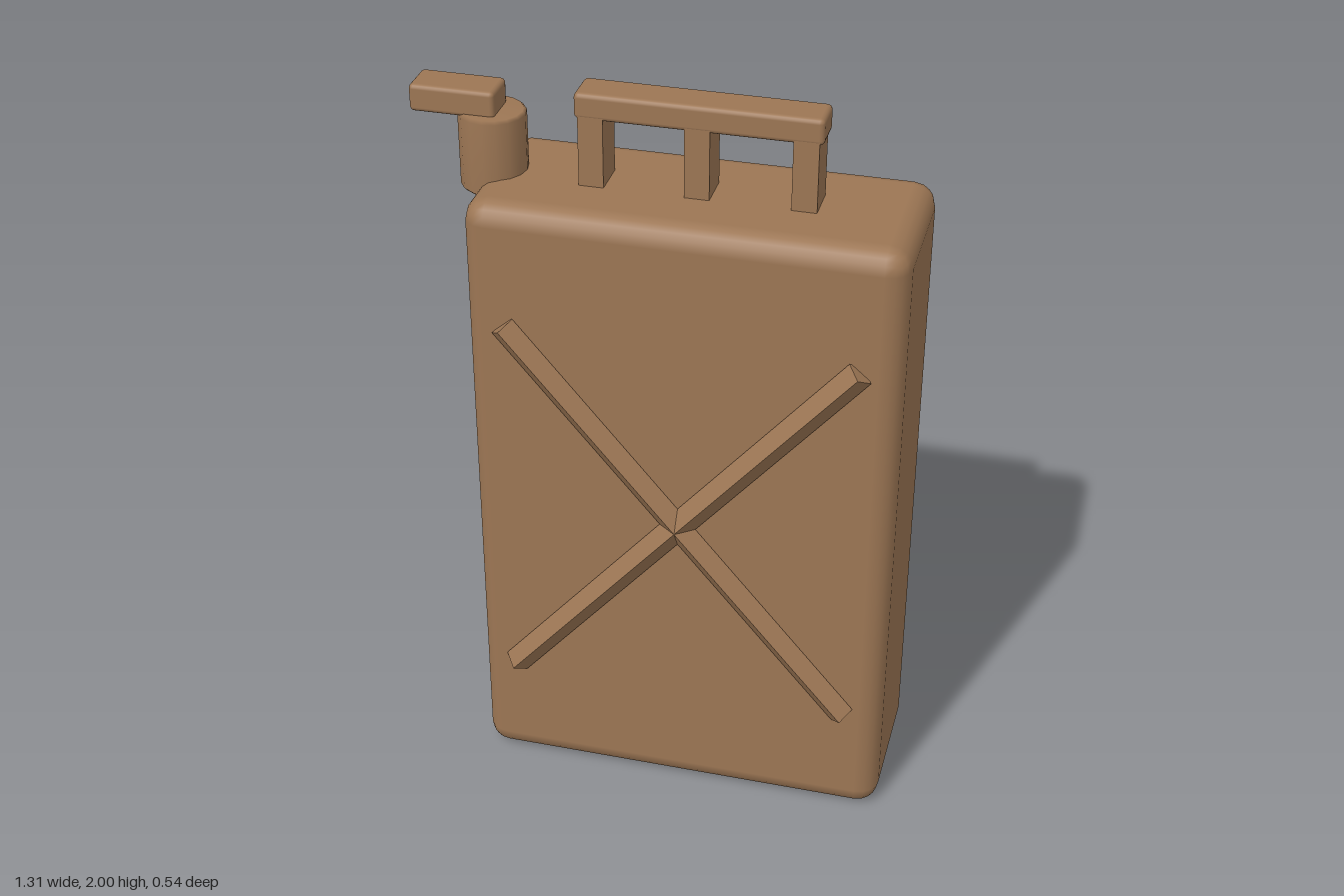
import * as THREE from 'three';
import { RoundedBoxGeometry } from 'three/addons/geometries/RoundedBoxGeometry.js';

const CX = 0.088; // centre of the tank

export function createModel() {
  const group = new THREE.Group();
  const paint = new THREE.MeshStandardMaterial({ color: 0x9c7654 });
  paint.name = 'tan paint';

  const add = (name, geometry, x, y, z = 0) => {
    const mesh = new THREE.Mesh(geometry, paint);
    mesh.name = name;
    mesh.position.set(x, y, z);
    group.add(mesh);
    return mesh;
  };

  // Tank with rounded edges
  add('tank', new RoundedBoxGeometry(1.134, 1.75, 0.454, 2, 0.06), CX, 0.875);

  // Crossed ridges: square bars set on edge, half sunk into front and back
  const ridge = new THREE.CylinderGeometry(0.037, 0.037, 1.427, 4).toNonIndexed();
  ridge.computeVertexNormals();
  const tilt = Math.atan2(0.463, 0.543);
  for (const side of [1, -1]) {
    for (const lean of [1, -1]) {
      const name = (side > 0 ? 'front' : 'back') + 'Ridge' + (lean > 0 ? 'Rising' : 'Falling');
      add(name, ridge, CX, 0.876, side * 0.233).rotation.z = -lean * tilt;
    }
  }

  // Carrying handle: three posts and a grip
  for (const dx of [-0.273, 0, 0.273]) {
    add('handlePost', new THREE.BoxGeometry(0.065, 0.24, 0.106), CX + dx, 1.84);
  }
  add('handleGrip', new RoundedBoxGeometry(0.632, 0.07, 0.108, 2, 0.013), CX, 1.965);

  // Spout with softened rims, set over the upper corner
  const profile = [[0, 0], [0.08, 0], [0.088, 0.008], [0.088, 0.202], [0.08, 0.21], [0, 0.21]];
  add('spout', new THREE.LatheGeometry(
    profile.map(([r, y]) => new THREE.Vector2(r, y)), 16), -0.457, 1.7);

  // Cap lever
  add('capLever', new RoundedBoxGeometry(0.225, 0.073, 0.108, 2, 0.012), -0.547, 1.938);

  return group;
}
